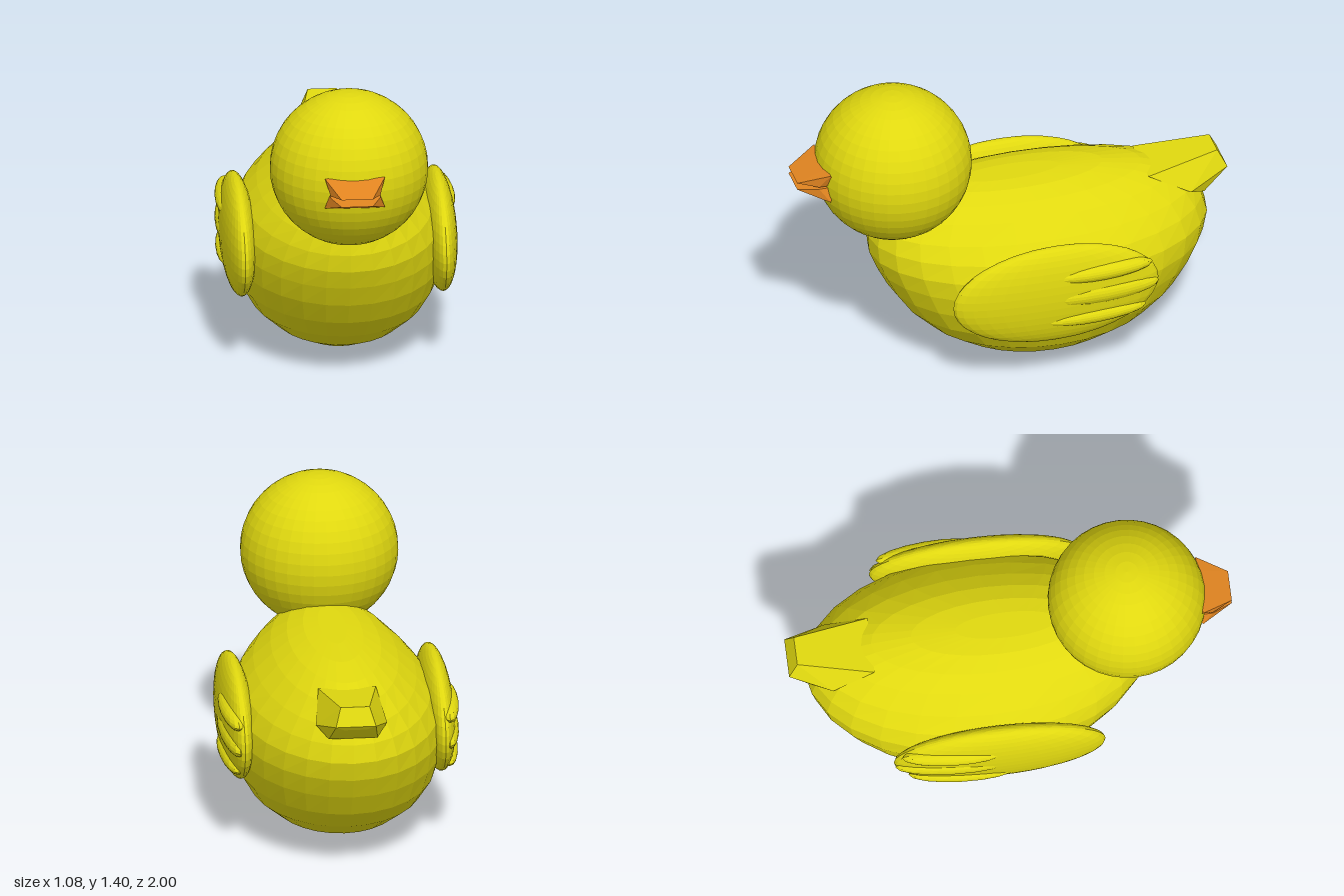
import * as THREE from 'three';
import { ConvexGeometry } from 'three/addons/geometries/ConvexGeometry.js';

const mat = (color) => new THREE.MeshStandardMaterial({ color, flatShading: true });

// Closed skin over oval rings stacked upwards: [y, zFront, zBack, halfWidth]
function ovalLoft(rings, sides) {
  const pos = [], idx = [];
  for (const [y, zf, zb, w] of rings) {
    for (let j = 0; j < sides; j++) {
      const a = (j / sides) * Math.PI * 2;
      pos.push(Math.cos(a) * w, y, (zf + zb) / 2 - (Math.sin(a) * (zf - zb)) / 2);
    }
  }
  const last = (rings.length - 1) * sides;
  for (let j = 0; j < sides; j++) {
    const k = (j + 1) % sides;
    for (let i = 0; i < last; i += sides) {
      idx.push(i + j, i + k, i + sides + k, i + j, i + sides + k, i + sides + j);
    }
    if (j > 0 && k > 0) idx.push(0, k, j, last, last + j, last + k);
  }
  const g = new THREE.BufferGeometry();
  g.setAttribute('position', new THREE.Float32BufferAttribute(pos, 3));
  g.setIndex(idx);
  g.computeVertexNormals();
  return g;
}

// Convex solid from corners given for the left half and mirrored
function mirroredHull(half) {
  return new ConvexGeometry(half.flatMap(([x, y, z]) =>
    [new THREE.Vector3(x, y, z), new THREE.Vector3(-x, y, z)]));
}

export function createModel() {
  const model = new THREE.Group();
  model.name = 'duckling';
  const yellow = mat(0xe0d80f), orange = mat(0xe08420), black = mat(0x0c0a08);

  const add = (name, geometry, material, parent = model) => {
    const m = new THREE.Mesh(geometry, material);
    m.name = name;
    parent.add(m);
    return m;
  };
  const ellipsoid = (name, c, r, parent, w = 32, h = 20) => {
    const m = add(name, new THREE.SphereGeometry(1, w, h), yellow, parent);
    m.position.set(...c);
    m.scale.set(...r);
    return m;
  };

  // Body: round underneath, flattened along the back
  add('body', ovalLoft([
    [0, -0.06, -0.24, 0.06],
    [0.03, 0.1, -0.35, 0.17],
    [0.09, 0.25, -0.53, 0.285],
    [0.18, 0.385, -0.675, 0.385],
    [0.28, 0.485, -0.78, 0.442],
    [0.39, 0.56, -0.85, 0.472],
    [0.49, 0.61, -0.9, 0.48],
    [0.58, 0.645, -0.92, 0.466],
    [0.66, 0.65, -0.9, 0.425],
    [0.73, 0.635, -0.86, 0.36],
    [0.8, 0.57, -0.77, 0.28],
    [0.85, 0.46, -0.62, 0.205],
    [0.88, 0.34, -0.44, 0.13],
    [0.89, 0.22, -0.24, 0.06],
  ], 28), yellow);

  // Head
  ellipsoid('head', [0, 1.045, 0.535], [0.355, 0.352, 0.355], model, 36, 22);

  // Tail: tapering upturned stub
  add('tail', mirroredHull([
    [0.13, 0.83, -0.62], [0.16, 0.73, -0.81], [0.11, 0.69, -0.885],
    [0.065, 0.87, -0.96], [0.09, 0.79, -1], [0.05, 0.77, -0.985],
  ]), yellow);

  // Beak: two wedges mirrored about the mouth line
  const beak = new THREE.Group();
  beak.name = 'beak';
  beak.position.y = 1.04;
  model.add(beak);
  for (const [name, s] of [['upperBeak', 1], ['lowerBeak', -1]]) {
    add(name, mirroredHull([
      [0.07, 0.071 * s, 0.868], [0.135, 0.071 * s, 0.862],
      [0.07, 0.017 * s, 1], [0.112, 0.005 * s, 0.91],
      [0.07, 0.013 * s, 0.86], [0.112, 0.005 * s, 0.84],
    ]), orange, beak);
  }
  add('mouth', new THREE.BoxGeometry(0.18, 0.024, 0.06), black, beak).position.z = 0.868;

  // Wings: flat ovals with raised feathers towards the rear
  for (const s of [1, -1]) {
    const wing = new THREE.Group();
    wing.name = s > 0 ? 'leftWing' : 'rightWing';
    model.add(wing);
    ellipsoid('wingBase', [0.452 * s, 0.51, -0.095], [0.078, 0.246, 0.478], wing);
    // Feathers: [y, z, halfHeight, halfLength]
    for (const [y, z, h, l] of [
      [0.615, -0.31, 0.042, 0.23],
      [0.505, -0.31, 0.052, 0.26],
      [0.392, -0.27, 0.04, 0.24],
    ]) {
      const f = ellipsoid('feather', [0.488 * s, y, z], [0.048, h, l], wing, 16, 12);
      f.rotation.y = 0.06 * s;
    }
  }
  return model;
}
